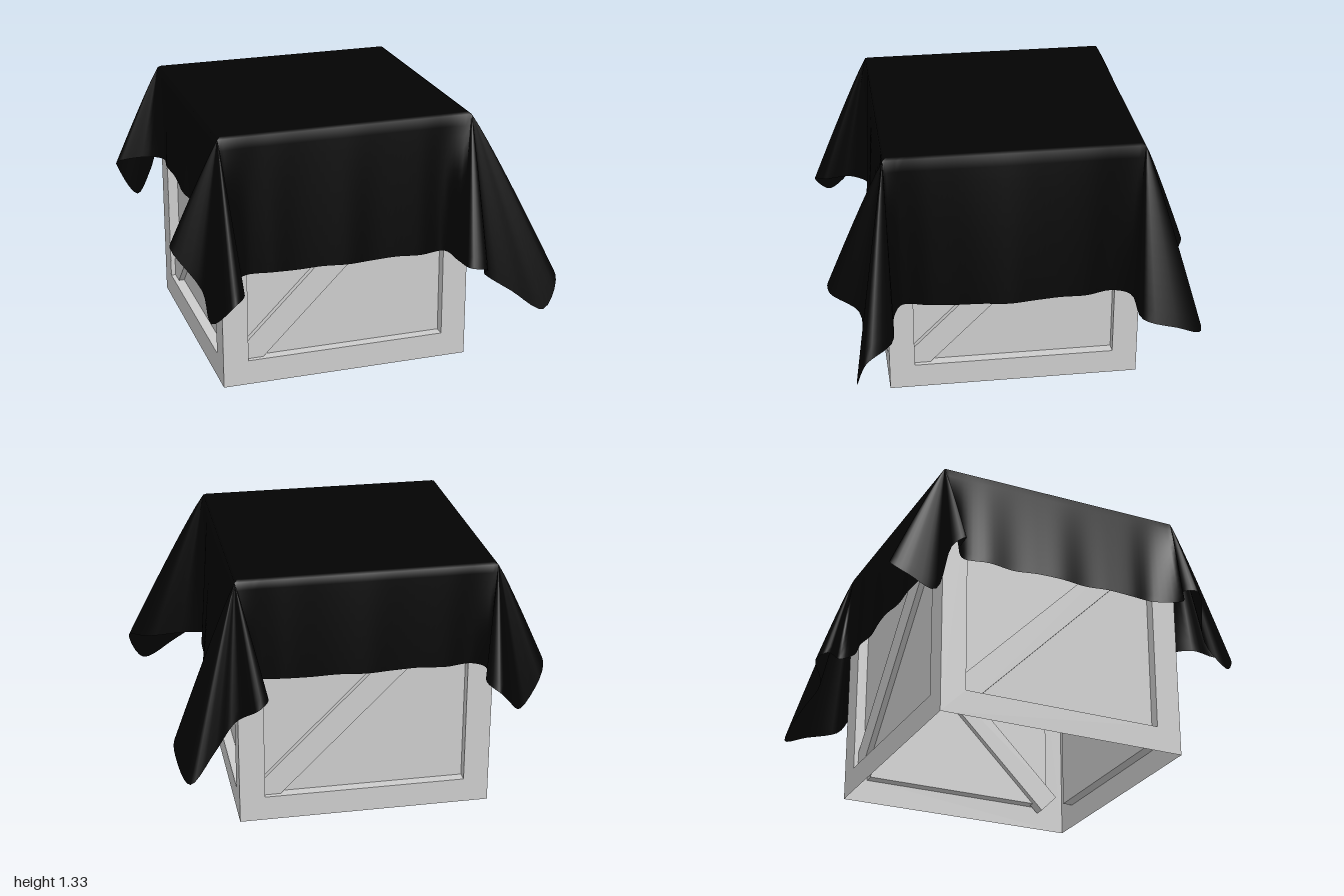
import * as THREE from 'three';

const grey = new THREE.MeshStandardMaterial({ color: 0xcccccc, side: THREE.DoubleSide });
const black = new THREE.MeshStandardMaterial({ color: 0x030303, side: THREE.DoubleSide });

const SIZE = 1.3, HEIGHT = 1.31, BORDER = 0.13, RECESS = 0.055, CLOTH_TOP = 1.325;
const MID_X = -0.09, MID_Z = -0.025;

function mesh(name, geometry, material) {
  const m = new THREE.Mesh(geometry, material);
  m.name = name;
  return m;
}

function rectangle(Path, halfWidth, low, high) {
  return new Path([[-halfWidth, low], [halfWidth, low], [halfWidth, high], [-halfWidth, high]]
    .map(([x, y]) => new THREE.Vector2(x, y)));
}

// One crate side: thin frame sheet, recessed panel and diagonal brace, outer face on z = SIZE / 2
function crateSide() {
  const side = new THREE.Group();
  const h = SIZE / 2, w = h - BORDER, low = BORDER, high = HEIGHT - BORDER, rim = 0.004;

  const frame = rectangle(THREE.Shape, h, 0, HEIGHT);
  frame.holes.push(rectangle(THREE.Path, w, low, high));
  side.add(mesh('sideFrame', new THREE.ShapeGeometry(frame).translate(0, 0, h), grey));

  const ledge = rectangle(THREE.Shape, w + rim, low - rim, high + rim);
  ledge.holes.push(rectangle(THREE.Path, w, low, high));
  const ledgeGeometry = new THREE.ExtrudeGeometry(ledge, { depth: RECESS - 0.001, bevelEnabled: false });
  side.add(mesh('windowLedge', ledgeGeometry.translate(0, 0, h - RECESS), grey));

  const panel = new THREE.ShapeGeometry(rectangle(THREE.Shape, w, low, high));
  side.add(mesh('sidePanel', panel.translate(0, 0, h - RECESS), grey));

  // Square-ended bar whose ends tuck behind the frame
  const brace = mesh('diagonalBrace', new THREE.BoxGeometry(1.49, 0.127, 0.06), grey);
  brace.position.set(0, HEIGHT / 2, h - 0.055);
  brace.rotation.z = Math.PI / 4;
  side.add(brace);
  return side;
}

// Hem points [x, y, z] of the four hanging corner folds, in order around the cloth
const folds = [
  { corner: [0.56, 0.625], hem: [
    [0.42, 0.61, 0.655], [0.44, 0.61, 0.8], [0.46, 0.61, 0.91], [0.55, 0.59, 0.91], [0.6, 0.5, 0.77],
    [0.75, 0.39, 0.77], [0.92, 0.28, 0.81], [1, 0.45, 0.76], [0.9, 0.49, 0.63], [0.68, 0.51, 0.6], [0.59, 0.52, 0.55]] },
  { corner: [0.56, -0.675], hem: [
    [0.59, 0.52, -0.52], [0.64, 0.52, -0.61], [0.86, 0.5, -0.63], [0.88, 0.45, -0.8], [0.83, 0.39, -0.94],
    [0.7, 0.53, -0.89], [0.59, 0.65, -0.83], [0.48, 0.74, -0.9], [0.43, 0.77, -0.85], [0.52, 0.79, -0.75], [0.46, 0.8, -0.69]] },
  { corner: [-0.743, -0.675], hem: [
    [-0.62, 0.8, -0.69], [-0.68, 0.8, -0.75], [-0.65, 0.78, -0.88], [-0.71, 0.74, -0.94], [-0.77, 0.66, -0.86],
    [-0.87, 0.56, -0.76], [-0.98, 0.74, -0.73], [-0.99, 0.8, -0.66], [-0.83, 0.82, -0.63], [-0.755, 0.82, -0.57]] },
  { corner: [-0.743, 0.625], hem: [
    [-0.755, 0.82, 0.5], [-0.84, 0.81, 0.62], [-0.95, 0.8, 0.555], [-0.99, 0.79, 0.62], [-0.86, 0.59, 0.72],
    [-0.85, 0.47, 0.85], [-0.75, 0.59, 0.94], [-0.69, 0.61, 0.88], [-0.71, 0.61, 0.74], [-0.62, 0.61, 0.645]] },
];
// How far each skirt (left, back, right, front) stands off the crate at the hem
const billow = [0.055, 0.015, 0.01, 0.015];

function clothGeometry() {
  const clampX = (x) => THREE.MathUtils.clamp(x, -0.743, 0.56);
  const clampZ = (z) => THREE.MathUtils.clamp(z, -0.675, 0.625);
  const hem = [], rim = [];

  folds.forEach(({ corner, hem: points }, k) => {
    points.forEach(([x, y, z], i) => {
      const end = i === 0 || i === points.length - 1;
      hem.push(new THREE.Vector3(x, y, z));
      rim.push(end ? [clampX(x), clampZ(z)] : corner);
    });
    // Gently waving skirt up to the next corner fold
    const a = new THREE.Vector3(...points[points.length - 1]);
    const b = new THREE.Vector3(...folds[(k + 1) % 4].hem[0]);
    const out = new THREE.Vector3([1, 0, -1, 0][k], 0, [0, -1, 0, 1][k]);
    for (let i = 1; i < 8; i++) {
      const p = a.clone().lerp(b, i / 8);
      rim.push([clampX(p.x), clampZ(p.z)]);
      p.addScaledVector(out, billow[k] * Math.sin(Math.PI * i / 8) + 0.008 * Math.sin(i * 2.1));
      p.y += 0.004 * Math.sin(i * 2.4);
      hem.push(p);
    }
  });

  const curve = new THREE.CatmullRomCurve3(hem, true);
  const n = hem.length, steps = 5, around = n * steps, rows = 14;
  const position = [MID_X, CLOTH_TOP, MID_Z], index = [];
  for (let r = 0; r <= rows; r++) {
    for (let i = 0; i < around; i++) {
      const k = Math.floor(i / steps), f = (i % steps) / steps;
      const [x0, z0] = rim[k], [x1, z1] = rim[(k + 1) % n];
      const x = x0 + (x1 - x0) * f, z = z0 + (z1 - z0) * f;
      if (r === 0) { // flat top, just inside the rounded edge
        position.push(MID_X + (x - MID_X) * 0.975, CLOTH_TOP, MID_Z + (z - MID_Z) * 0.975);
      } else { // hanging part, bulging slightly at the shoulder
        const p = curve.getPoint(i / around), v = (r - 1) / (rows - 1), spread = v ** 0.93;
        position.push(x + (p.x - x) * spread, CLOTH_TOP - 0.01 + (p.y - CLOTH_TOP + 0.01) * v, z + (p.z - z) * spread);
      }
    }
  }
  for (let i = 0; i < around; i++) {
    const j = (i + 1) % around;
    index.push(0, 1 + i, 1 + j);
    for (let r = 0; r < rows; r++) {
      const a = 1 + r * around + i, c = 1 + r * around + j;
      index.push(a, a + around, c, c, a + around, c + around);
    }
  }
  const geometry = new THREE.BufferGeometry();
  geometry.setAttribute('position', new THREE.Float32BufferAttribute(position, 3));
  geometry.setIndex(index);
  geometry.computeVertexNormals();
  return geometry;
}

export function createModel() {
  const model = new THREE.Group();
  model.name = 'coveredCrate';

  // Crate, open underneath
  const crate = new THREE.Group();
  crate.name = 'crate';
  for (let i = 0; i < 4; i++) {
    const side = crateSide();
    side.name = ['frontSide', 'leftSide', 'backSide', 'rightSide'][i];
    side.rotation.y = i * Math.PI / 2;
    crate.add(side);
  }
  const lid = mesh('crateTop', new THREE.PlaneGeometry(SIZE, SIZE), grey);
  lid.rotation.x = -Math.PI / 2;
  lid.position.y = HEIGHT;
  crate.add(lid);
  crate.position.set(MID_X, 0, MID_Z);
  model.add(crate);

  // Cloth draped over the crate
  model.add(mesh('drapedCloth', clothGeometry(), black));
  return model;
}
